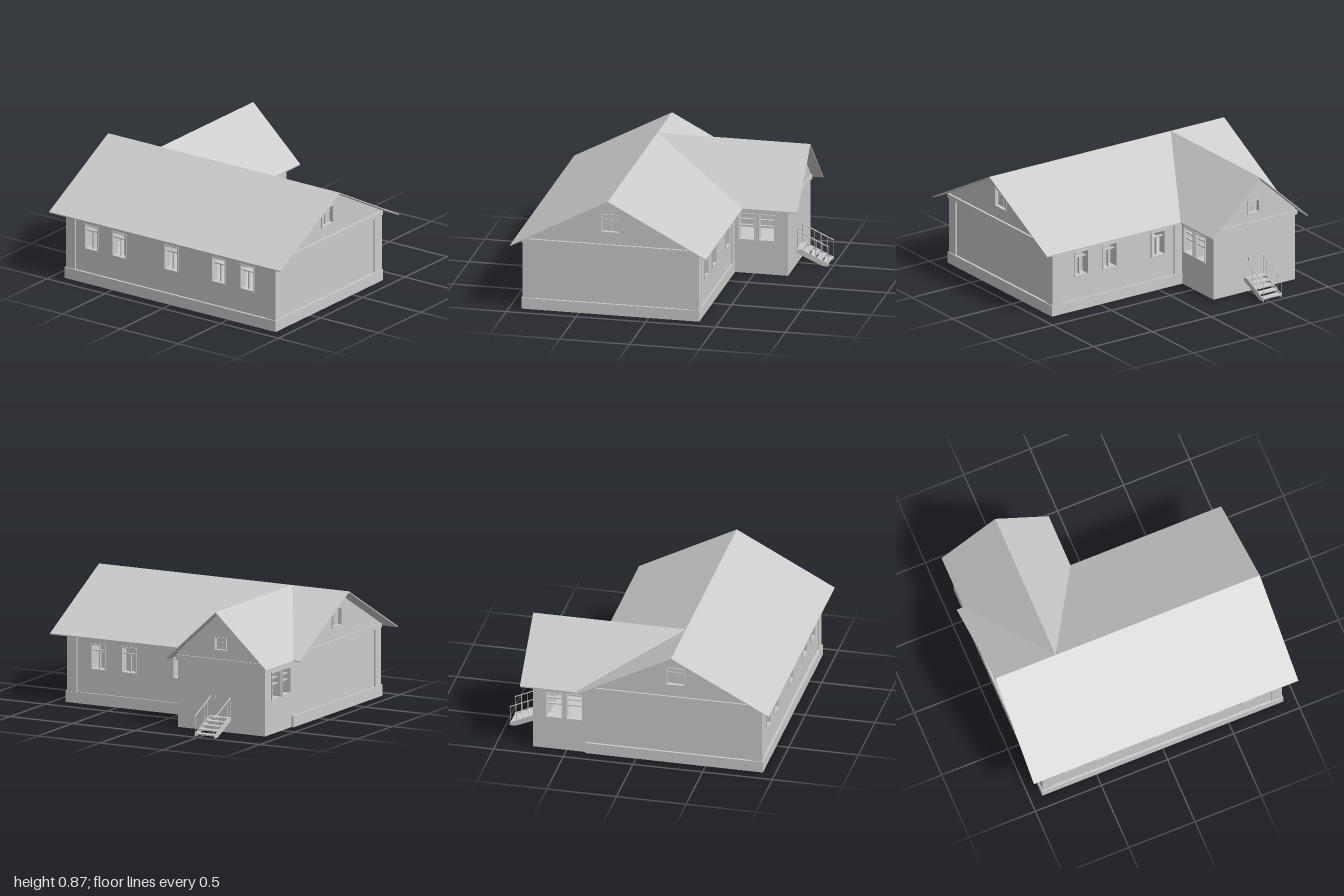
import * as THREE from 'three';
import { ConvexGeometry } from 'three/addons/geometries/ConvexGeometry.js';

const mat = new THREE.MeshStandardMaterial({ color: 0xcccccc, flatShading: true });
const T = 0.05;          // wall thickness
const BASE = 0.04;       // underside of the main walls, hidden by the plinth
const ROOF_T = 0.008;    // roof thickness
const RX = -0.273, RZ = -0.545, TOP = 0.865, EAVE = 0.492;
const mainH = x => TOP - (TOP - EAVE) / 0.702 * Math.abs(x - RX);
const wingH = z => TOP - (TOP - EAVE) / 0.405 * Math.abs(z - RZ);

export function createModel() {
  const house = new THREE.Group();
  house.name = 'house';

  const add = (name, geo, parent = house) => {
    const m = new THREE.Mesh(geo, mat);
    m.name = name;
    parent.add(m);
    return m;
  };
  // Box given by its minimum and maximum corners
  const box = (name, x0, x1, y0, y1, z0, z1, parent) => {
    const m = add(name, new THREE.BoxGeometry(x1 - x0, y1 - y0, z1 - z0), parent);
    m.position.set((x0 + x1) / 2, (y0 + y1) / 2, (z0 + z1) / 2);
  };
  // Round bar between two points
  const bar = (name, a, b, r) => {
    const va = new THREE.Vector3(...a), vb = new THREE.Vector3(...b);
    const d = vb.clone().sub(va);
    const m = add(name, new THREE.CylinderGeometry(r, r, d.length(), 6));
    m.position.copy(va).add(vb).multiplyScalar(0.5);
    m.quaternion.setFromUnitVectors(new THREE.Vector3(0, 1, 0), d.normalize());
  };

  // Wall with framed openings; runs along x, or along z when alongZ is set.
  // Openings: [centre, bottom, width, height, style]
  const wall = (name, outline, at, alongZ, openings = []) => {
    const g = new THREE.Group();
    g.name = name;
    if (alongZ) { g.rotation.y = -Math.PI / 2; g.position.x = at; } else g.position.z = at;
    house.add(g);
    const shape = new THREE.Shape(outline.map(p => new THREE.Vector2(...p)));
    for (const [c, y, w, h, style] of openings) {
      const l = c - w / 2, r = c + w / 2, t = y + h, f = 0.008, d = T / 2 + 0.008;
      shape.holes.push(new THREE.Path([[l, y], [l, t], [r, t], [r, y]].map(p => new THREE.Vector2(...p))));
      box('windowJamb', l, l + f, y, t, -d, d, g);
      box('windowJamb', r - f, r, y, t, -d, d, g);
      box('windowHead', l + f, r - f, t - f, t, -d, d, g);
      box('windowSill', l + f, r - f, y, y + f, -d, d, g);
      const hBar = v => box('windowRail', l + f, r - f, v - 0.004, v + 0.004, -0.01, 0.01, g);
      const vBar = top => box('windowMullion', c - 0.004, c + 0.004, y + f, top, -0.009, 0.009, g);
      if (style === 'sash') { hBar(t - 0.05); hBar(t - 0.095); }
      if (style === 'tee') { hBar(t - 0.05); vBar(t - 0.05); }
      if (style === 'attic') {
        hBar(t - 0.045);
        vBar(t - 0.045);
        box('windowPane', l + f, r - f, y + f, t - f, -0.004, 0.004, g);
      }
    }
    const geo = new THREE.ExtrudeGeometry(shape, { depth: T, bevelEnabled: false });
    geo.translate(0, 0, -T / 2);
    add(name + 'Panel', geo, g);
  };
  const rect = (a, b, y, top) => [[a, y], [b, y], [b, top], [a, top]];
  const gable = (a, b, y, ridge, H) =>
    [[a, y], [b, y], [b, H(b) - ROOF_T], [ridge, H(ridge) - ROOF_T], [a, H(a) - ROOF_T]];

  // Main block walls
  const attic = [[-0.28, 0.6, 0.137, 0.137, 'attic']];
  const tees = zs => zs.map(z => [z, 0.248, 0.122, 0.188, 'tee']);
  wall('frontWall', gable(-0.895, 0.35, BASE, RX, mainH), 0.895 - T / 2, false, attic);
  wall('backWall', gable(-0.895, 0.35, BASE, RX, mainH), -0.895 + T / 2, false, attic);
  wall('rightWall', rect(-0.895, 0.895, BASE, 0.515), -0.895 + T / 2, true, tees([-0.69, -0.45, 0, 0.41, 0.655]));
  wall('leftWall', rect(-0.2, 0.895, BASE, 0.515), 0.35 - T / 2, true, tees([0, 0.41, 0.655]));

  // Wing walls
  const pair = [0.445, 0.59].map(x => [x, 0.242, 0.126, 0.198, 'sash']);
  wall('wingEndWall', gable(-0.894, -0.201, 0, RZ, wingH), 0.742 - T / 2, true, [[-0.54, 0.575, 0.1, 0.097, 'attic']]);
  wall('wingFrontWall', rect(0.35, 0.741, 0, 0.525), -0.2 - T / 2, false, pair);
  wall('wingBackWall', rect(0.35, 0.741, 0, 0.525), -0.895 + T / 2, false, pair);

  // Plinth boards around the main block
  box('plinthFront', -0.912, 0.363, 0, 0.08, 0.892, 0.912);
  box('plinthBack', -0.912, 0.363, 0, 0.08, -0.912, -0.892);
  box('plinthRight', -0.912, -0.892, 0, 0.08, -0.892, 0.892);
  box('plinthLeft', 0.343, 0.363, 0, 0.08, -0.2, 0.892);

  // Corner pilasters
  for (const [x0, x1, z0, z1] of [[-0.904, -0.82, 0.825, 0.904], [0.272, 0.359, 0.825, 0.904],
    [-0.904, -0.82, -0.904, -0.825], [0.32, 0.359, -0.2, -0.135]]) box('cornerPilaster', x0, x1, 0.08, 0.488, z0, z1);

  // Frieze bands under the gables and eaves
  box('friezeFront', -0.912, 0.363, 0.487, 0.516, 0.87, 0.912);
  box('friezeBack', -0.912, 0.752, 0.487, 0.516, -0.908, -0.87);
  box('friezeRight', -0.908, -0.87, 0.487, 0.508, -0.87, 0.87);
  box('friezeLeft', 0.32, 0.36, 0.487, 0.508, -0.2, 0.87);
  box('friezeWingEnd', 0.7, 0.753, 0.487, 0.516, -0.907, -0.19);
  box('friezeWingFront', 0.355, 0.75, 0.487, 0.516, -0.24, -0.19);

  // Floors and room partitions
  box('mainFloor', -0.85, 0.305, 0.1, 0.115, -0.85, 0.85);
  box('wingFloor', 0.305, 0.695, 0.1, 0.115, -0.85, -0.245);
  box('partition', -0.05, -0.02, BASE, 0.48, 0.06, 0.85);
  box('partition', -0.05, -0.02, BASE, 0.48, -0.85, -0.37);
  box('partition', -0.85, -0.05, BASE, 0.48, -0.445, -0.415);
  box('partition', 0.04, 0.305, BASE, 0.48, 0.155, 0.185);

  // Roof slopes as thin slabs over plan polygons, meeting in two valleys
  const slope = (name, plan, H) => add(name, new ConvexGeometry(plan.flatMap(([x, z]) =>
    [0, ROOF_T].map(d => new THREE.Vector3(x, H(x, z) - d, z)))));
  const wingSlopeH = (x, z) => wingH(z);
  slope('mainRoofRight', [[-0.974, -1], [RX, -1], [RX, 1], [-0.974, 1]], mainH);
  slope('mainRoofLeftFront', [[RX, 1], [0.429, 1], [0.429, RZ + 0.405], [RX, RZ]], mainH);
  slope('mainRoofLeftBack', [[RX, -1], [0.429, -1], [0.429, RZ - 0.405], [RX, RZ]], mainH);
  for (const s of [1, -1]) {
    slope(s > 0 ? 'wingRoofFront' : 'wingRoofBack',
      [[RX, RZ], [0.823, RZ], [0.823, RZ + s * 0.405], [0.429, RZ + s * 0.405]], wingSlopeH);
  }

  // Entrance stairs: stringers, treads and railings
  const stringer = new THREE.Shape([[0.735, 0.11], [0.78, 0.11], [0.975, 0.018], [0.975, 0], [0.93, 0], [0.735, 0.085]]
    .map(p => new THREE.Vector2(...p)));
  for (const z of [-0.465, -0.62]) {
    const geo = new THREE.ExtrudeGeometry(stringer, { depth: 0.006, bevelEnabled: false });
    add('stairStringer', geo).position.z = z - 0.003;
    bar('handrail', [0.742, 0.25, z], [0.973, 0.143, z], 0.004);
    for (let i = 0; i < 6; i++) {
      const x = 0.748 + i * 0.0445, k = (x - 0.742) / 0.231;
      bar('baluster', [x, Math.min(0.105, 0.105 - (x - 0.78) * 0.47), z], [x, 0.25 - 0.107 * k, z], 0.002);
    }
  }
  for (let i = 0; i < 5; i++) {
    const x = 0.738 + i * 0.046, y = 0.11 - i * 0.022;
    box('stairTread', x, x + 0.046, y - 0.01, y, -0.62, -0.465);
  }
  box('doorHandle', 0.738, 0.752, 0.23, 0.255, -0.5, -0.495);

  return house;
}
